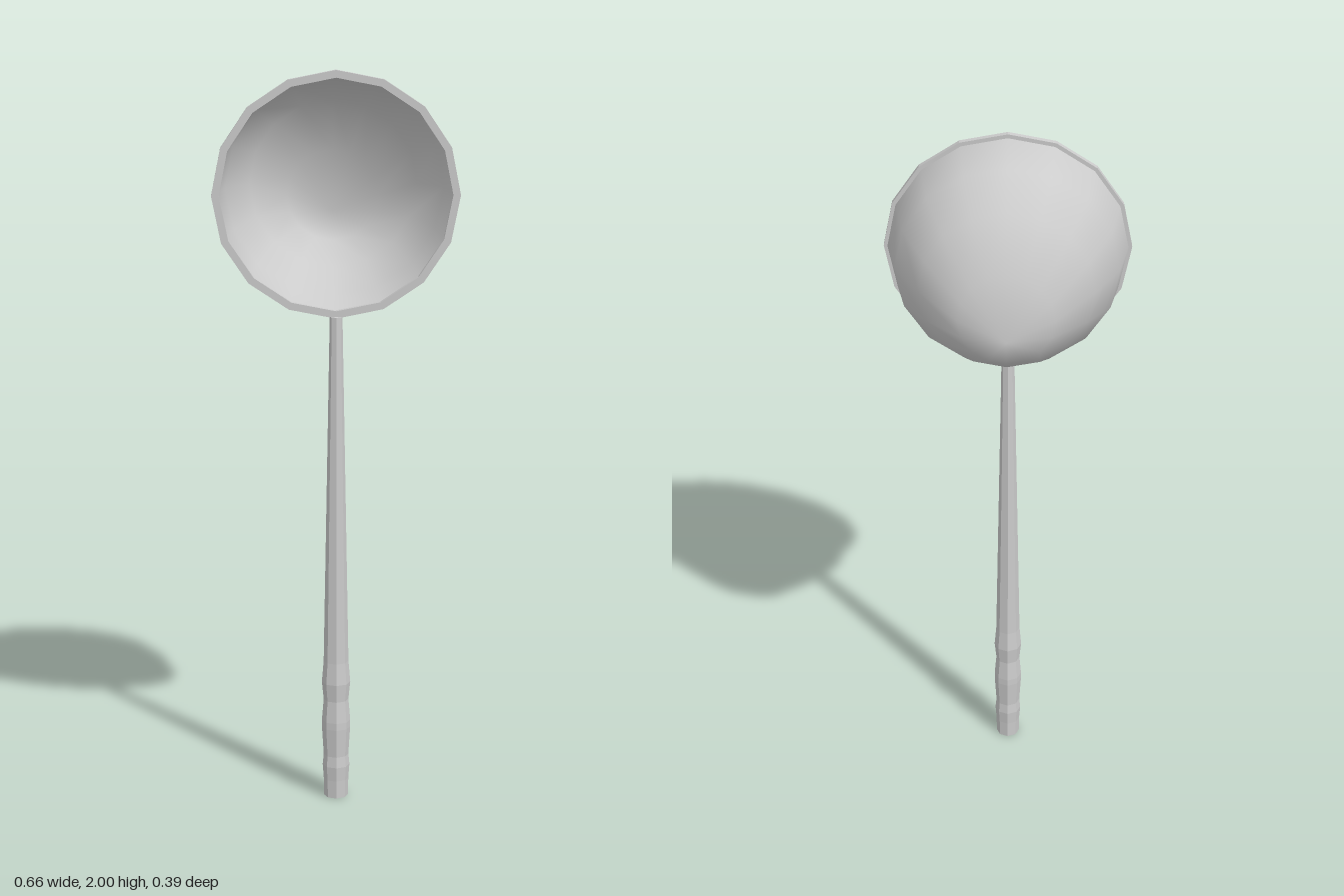
import * as THREE from 'three';

const SIDES = 16;
const RIM_Y = 1.673;
const HANDLE_Z = 0.155;

function ringPoints(radius) {
  return Array.from({ length: SIDES }, (_, i) => {
    const a = (i / SIDES) * Math.PI * 2;
    return new THREE.Vector2(Math.cos(a) * radius, Math.sin(a) * radius);
  });
}

// Sagging bowl: rings [radius, centre y, z] running back from the rim to a lowered tip
function bowlGeometry() {
  const rings = [
    [0.318, 1.674, 0.14],
    [0.293, 1.675, 0.017],
    [0.228, 1.67, -0.088],
    [0.126, 1.628, -0.163],
  ];
  const positions = [];
  const index = [];
  for (const [r, y, z] of rings) {
    for (const p of ringPoints(r)) {
      // the deeper rings tilt, so their lower half lies further back
      const tilt = z < -0.1 ? (p.y / r) * 0.006 : 0;
      positions.push(p.x, p.y + y, z + tilt);
    }
  }
  const tip = rings.length * SIDES;
  positions.push(0, 1.58, -0.194);
  for (let j = 0; j < rings.length; j++) {
    for (let i = 0; i < SIDES; i++) {
      const k = (i + 1) % SIDES;
      const a = j * SIDES + i;
      const b = j * SIDES + k;
      if (j === rings.length - 1) index.push(a, tip, b);
      else index.push(a, a + SIDES, b, b, a + SIDES, b + SIDES);
    }
  }
  const g = new THREE.BufferGeometry();
  g.setAttribute('position', new THREE.Float32BufferAttribute(positions, 3));
  g.setIndex(index);
  g.computeVertexNormals();
  return g;
}

export function createModel() {
  const model = new THREE.Group();
  model.name = 'ladle';
  const smooth = new THREE.MeshStandardMaterial({ color: 0xcccccc, side: THREE.DoubleSide });
  const flat = new THREE.MeshStandardMaterial({ color: 0xcccccc, flatShading: true });

  const add = (name, geometry, material) => {
    const mesh = new THREE.Mesh(geometry, material);
    mesh.name = name;
    model.add(mesh);
    return mesh;
  };

  add('bowl', bowlGeometry(), smooth);

  // Flat faceted hoop around the mouth of the bowl
  const hoop = new THREE.Shape(ringPoints(0.328));
  hoop.holes.push(new THREE.Path(ringPoints(0.308)));
  const rim = add('rim', new THREE.ExtrudeGeometry(hoop, { depth: 0.014, bevelEnabled: false }), flat);
  rim.position.set(0, RIM_Y, 0.144);

  // Eight-sided tapering handle with finger bulges on the grip
  const profile = [
    [0, 0], [0.033, 0], [0.034, 0.12], [0.039, 0.2], [0.039, 0.22],
    [0.034, 0.28], [0.039, 0.33], [0.034, 0.39], [0.017, 1.35], [0, 1.35],
  ];
  // small swelling below the lowest waist
  profile.splice(2, 0, [0.034, 0.05], [0.037, 0.09]);
  const handle = add(
    'handle',
    new THREE.LatheGeometry(profile.map(([r, y]) => new THREE.Vector2(r, y)), 8),
    flat,
  );
  handle.position.z = HANDLE_Z;

  return model;
}
